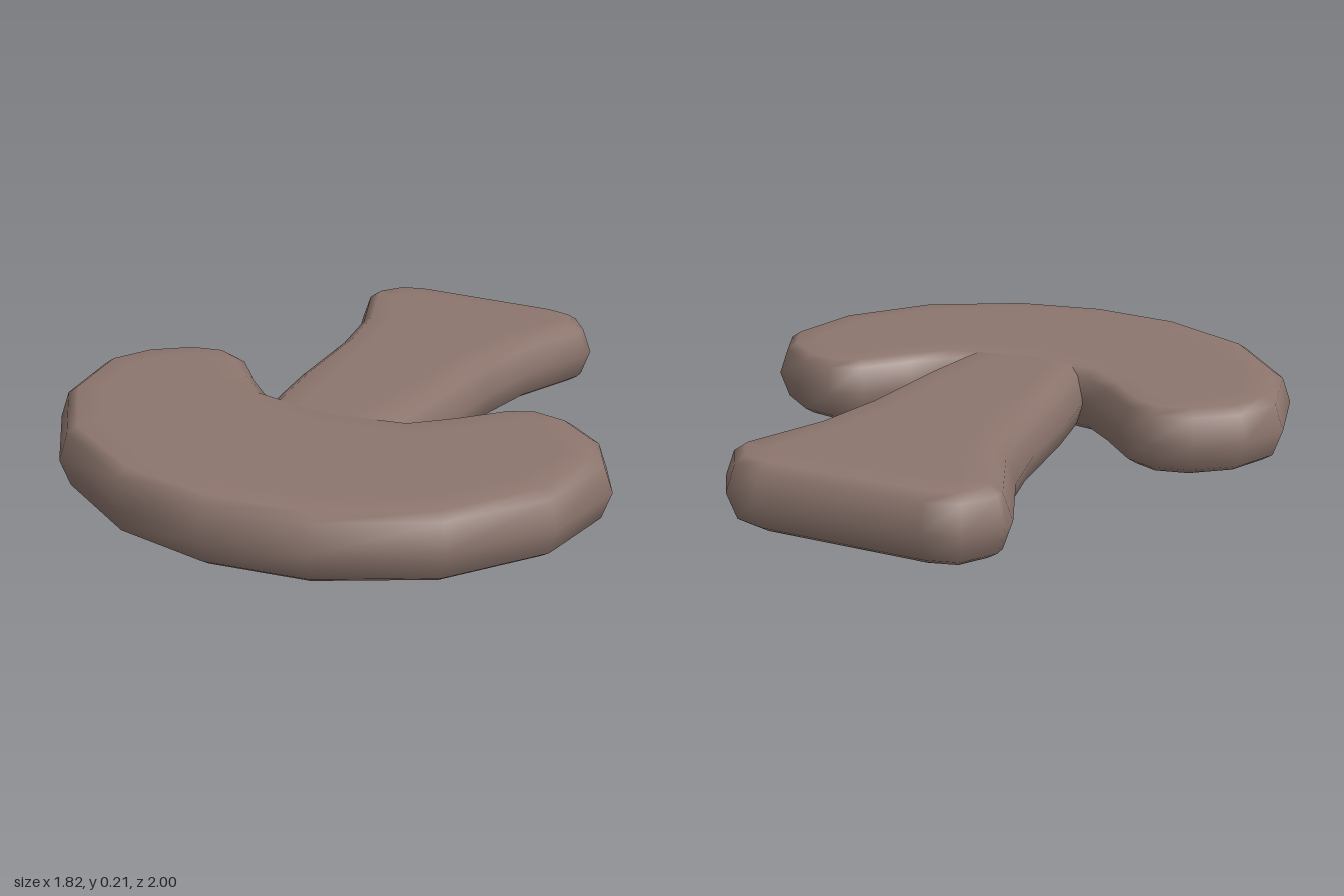
import * as THREE from 'three';

// Rounded-edge section: [height, inset from the outline]
const section = [[0, 0.14], [0, 0.06], [0.022, 0.028], [0.108, 0], [0.19, 0.028], [0.212, 0.06], [0.212, 0.14]];

// Mirror a right-hand half outline (front to back) into a closed loop of [x, z]
function mirrorOutline(half) {
  const left = half.filter(p => p[0] > 0).reverse().map(([x, z]) => [-x, z]);
  return [...half, ...left];
}

// Move every corner of the outline inward by d
function inset(outline, d) {
  const n = outline.length;
  const normal = (a, b) => new THREE.Vector2(a[1] - b[1], b[0] - a[0]).normalize();
  return outline.map((p, i) => {
    const n1 = normal(outline[(i + n - 1) % n], p);
    const n2 = normal(p, outline[(i + 1) % n]);
    const m = n1.clone().add(n2).normalize();
    const k = d / Math.max(m.dot(n1), 0.6);
    return [p[0] - m.x * k, p[1] - m.y * k];
  });
}

// Stack inset outlines into a soft slab with flat top and bottom
function slab(name, half, material, thickness = 1) {
  const outline = mirrorOutline(half), n = outline.length;
  const positions = [], index = [];
  const rings = section.map(([y, d]) => {
    const ring = inset(outline, d);
    ring.forEach(([x, z]) => positions.push(x, 0.106 + (y - 0.106) * thickness, z));
    return ring;
  });
  for (let r = 0; r < rings.length - 1; r++) {
    for (let i = 0; i < n; i++) {
      const j = (i + 1) % n, a = r * n, b = a + n;
      index.push(a + i, a + j, b + j, a + i, b + j, b + i);
    }
  }
  const top = (rings.length - 1) * n;
  const contour = rings[0].map(([x, z]) => new THREE.Vector2(x, -z));
  for (const [a, b, c] of THREE.ShapeUtils.triangulateShape(contour, [])) {
    index.push(top + a, top + b, top + c, c, b, a);
  }
  const geometry = new THREE.BufferGeometry();
  geometry.setAttribute('position', new THREE.Float32BufferAttribute(positions, 3));
  geometry.setIndex(index);
  geometry.computeVertexNormals();
  const mesh = new THREE.Mesh(geometry, material);
  mesh.name = name;
  return mesh;
}

export function createModel() {
  const group = new THREE.Group();
  group.name = 'mushroomSlab';
  const brown = new THREE.MeshStandardMaterial({ color: 0x8d766e });
  brown.name = 'dull brown';

  // Crescent cap with two rounded lobes
  group.add(slab('cap', [
    [0, 1], [0.32, 0.95], [0.645, 0.77], [0.855, 0.49], [0.91, 0.2], [0.835, 0.045],
    [0.7, -0.06], [0.565, -0.088], [0.46, -0.04], [0.34, 0.09], [0.235, 0.185], [0, 0.23],
  ], brown));

  // Stem flaring to a blunt foot, its front end sunk into the cap
  group.add(slab('stem', [
    [0, 0.5], [0.2, 0.46], [0.22, 0.32], [0.245, 0.18], [0.27, 0], [0.295, -0.33], [0.34, -0.56],
    [0.445, -0.81], [0.445, -0.86], [0.37, -0.97], [0.26, -1], [0, -1],
  ], brown, 0.985));

  return group;
}
